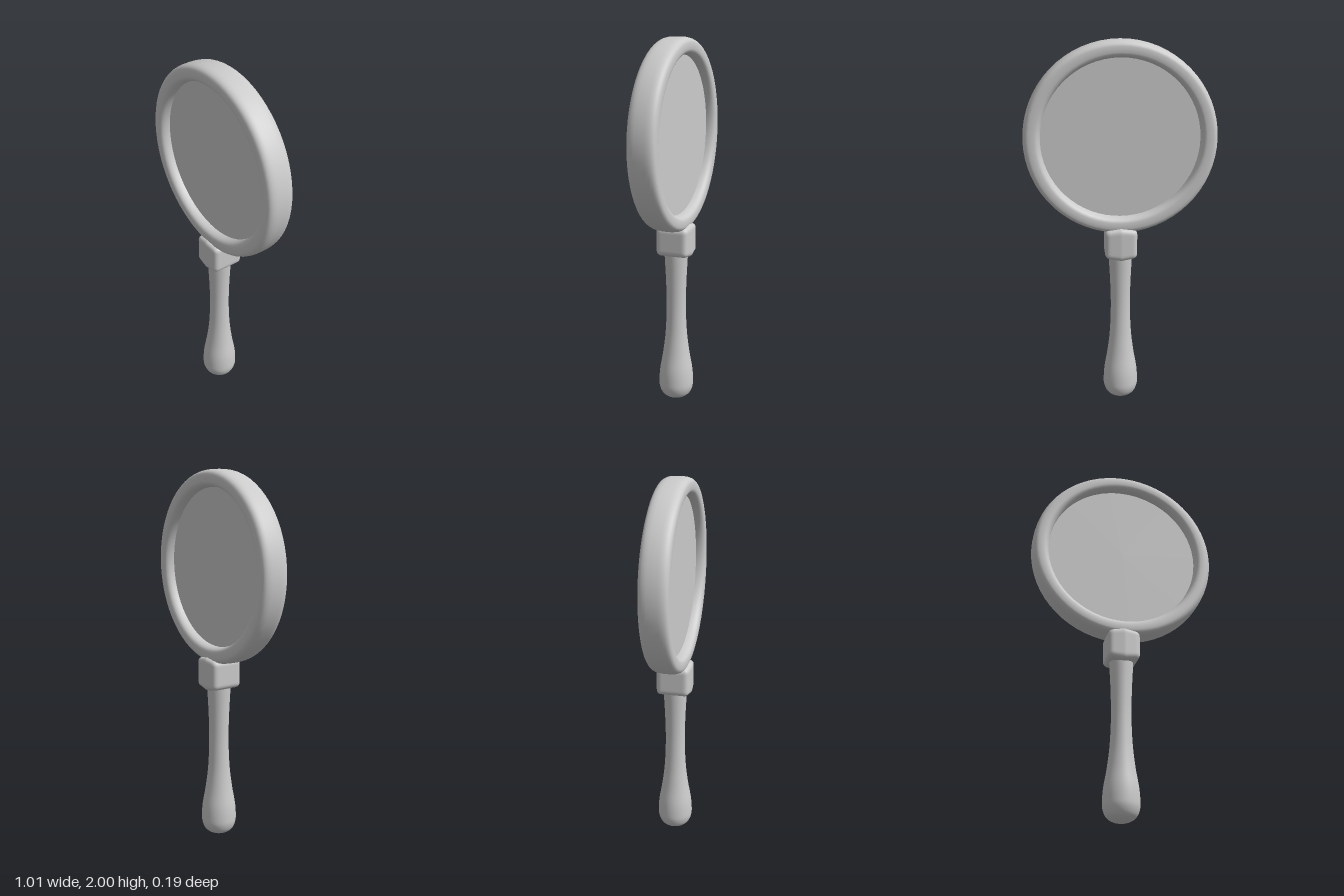
import * as THREE from 'three';
import { mergeVertices } from 'three/addons/utils/BufferGeometryUtils.js';

const material = new THREE.MeshStandardMaterial({ color: 0xcccccc });

function part(name, geometry, y = 0) {
  const mesh = new THREE.Mesh(geometry, material);
  mesh.name = name;
  mesh.position.y = y;
  return mesh;
}

// Rim: rounded, squarish section swept round the lens axis
function rimGeometry() {
  const soften = (v) => Math.sign(v) * Math.abs(v) ** 0.65;
  const profile = [];
  for (let i = 0; i <= 32; i++) {
    const a = Math.PI + (i / 32) * Math.PI * 2;
    profile.push(new THREE.Vector2(0.46 + 0.045 * soften(Math.cos(a)), 0.075 * soften(Math.sin(a))));
  }
  return new THREE.LatheGeometry(profile, 64).rotateX(Math.PI / 2);
}

// Collar: rounded block, peaked along its middle
function collarGeometry() {
  const half = new THREE.Vector3(0.086, 0.077, 0.086);
  const round = 0.024;
  const inner = half.clone().subScalar(round);
  let geometry = new THREE.BoxGeometry(half.x * 2, half.y * 2, half.z * 2, 20, 20, 20);
  geometry.deleteAttribute('normal');
  geometry.deleteAttribute('uv');
  geometry = mergeVertices(geometry);
  const pos = geometry.attributes.position;
  const p = new THREE.Vector3();
  const core = new THREE.Vector3();
  for (let i = 0; i < pos.count; i++) {
    p.fromBufferAttribute(pos, i);
    core.copy(p).clamp(inner.clone().negate(), inner);
    p.sub(core).setLength(round).add(core);
    const peak = 1 - Math.abs(p.x) / half.x;
    p.y *= 1 + 0.18 * peak;
    p.z *= 1 + 0.1 * peak;
    pos.setXYZ(i, p.x, p.y, p.z);
  }
  geometry.computeVertexNormals();
  return geometry;
}

// Handle: slim waist swelling to a rounded butt
function handleGeometry() {
  const points = [
    [0, 0.005], [0.04, 0.011], [0.075, 0.033], [0.092, 0.07], [0.095, 0.11], [0.09, 0.18],
    [0.073, 0.28], [0.059, 0.4], [0.053, 0.55], [0.056, 0.7], [0.064, 0.86], [0.064, 0.92],
  ].map(([r, y]) => new THREE.Vector2(r, y));
  const profile = new THREE.SplineCurve(points).getPoints(44);
  profile.forEach((p) => { p.x = Math.max(p.x, 0); });
  return new THREE.LatheGeometry(profile, 32);
}

export function createModel() {
  const group = new THREE.Group();
  group.name = 'magnifyingGlass';
  group.add(
    part('rim', rimGeometry(), 1.495),
    part('lens', new THREE.CylinderGeometry(0.425, 0.425, 0.05, 64).rotateX(Math.PI / 2), 1.495),
    part('collar', collarGeometry(), 0.932),
    part('handle', handleGeometry()),
  );
  return group;
}
